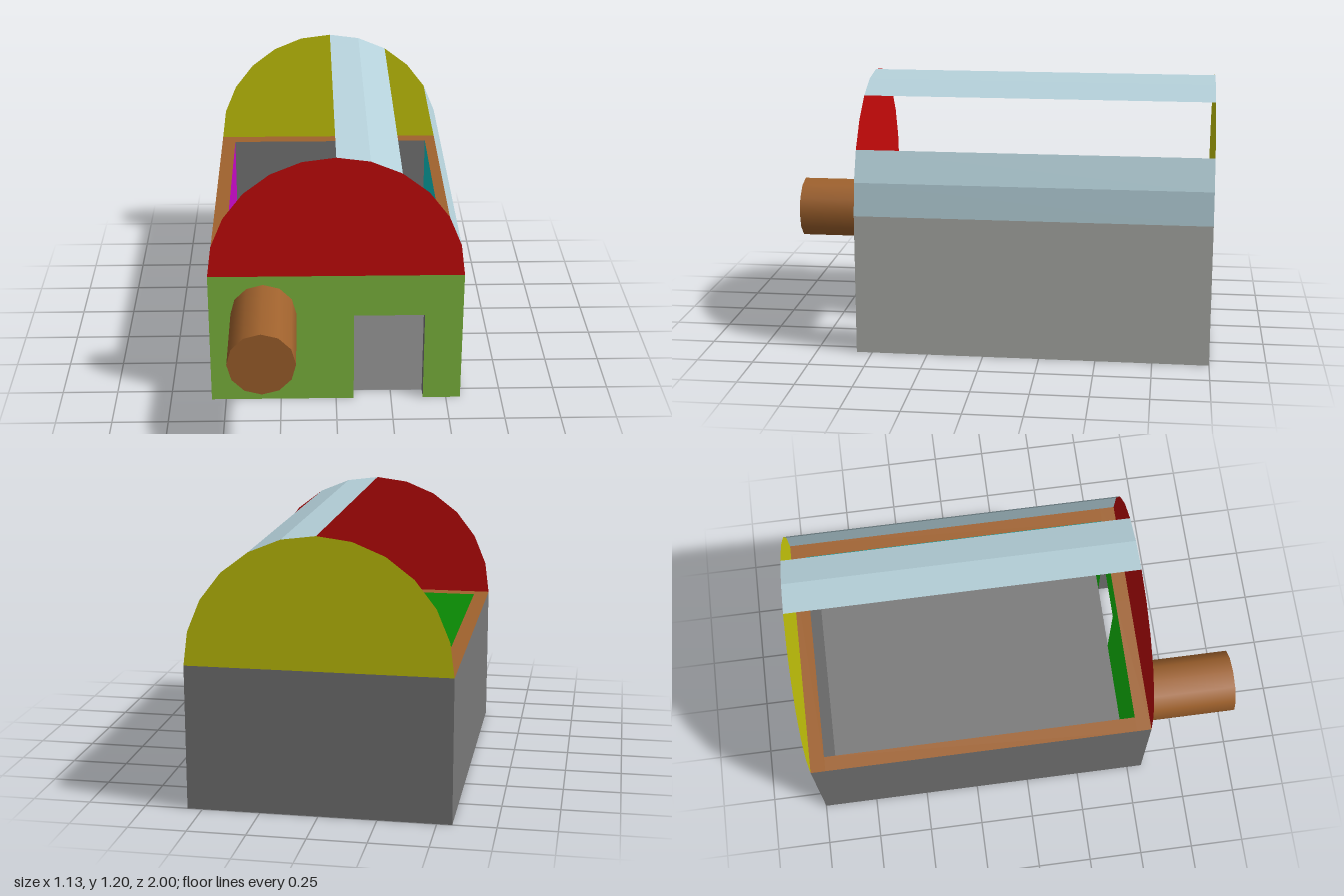
import * as THREE from 'three';

export function createModel() {
  const model = new THREE.Group();
  model.name = 'vaultedShed';

  const mat = (name, color, extra = {}) =>
    Object.assign(new THREE.MeshStandardMaterial({ color, ...extra }), { name });
  const both = { side: THREE.DoubleSide };
  const grey = mat('grey', 0x787878, both);
  const paleGrey = mat('pale grey', 0xb4b6b1);
  const leaf = mat('leaf green', 0x7fba3f);
  const green = mat('inner green', 0x14c80a);
  const teal = mat('teal', 0x0ac8c8);
  const purple = mat('purple', 0xc80ac8);
  const brown = mat('brown', 0xa0622d);
  const red = mat('red', 0xc80a0a, both);
  const yellow = mat('yellow', 0xc8c80a, both);
  const sky = mat('pale blue', 0xb6d2db, { ...both, flatShading: true });

  // Overall sizes: half width, wall height, wall thickness, front and back
  const W = 0.565, H = 0.63, T = 0.067, F = 0.57, B = -1;
  const L = F - B, midZ = (F + B) / 2;
  const door = { x0: 0.08, x1: 0.395, h: 0.43 };

  const add = (name, geometry, material, x = 0, y = 0, z = 0) => {
    const mesh = new THREE.Mesh(geometry, material);
    mesh.name = name;
    mesh.position.set(x, y, z);
    model.add(mesh);
    return mesh;
  };

  // Box between limits; materials in the order +x, -x, +y, -y, +z, -z
  const block = (name, [x0, x1], [y0, y1], [z0, z1], materials) =>
    add(name, new THREE.BoxGeometry(x1 - x0, y1 - y0, z1 - z0), materials,
      (x0 + x1) / 2, (y0 + y1) / 2, (z0 + z1) / 2);

  // Front wall around the doorway
  const front = [F - T, F];
  block('frontWallRight', [-W, door.x0], [0, H], front, [grey, grey, brown, grey, leaf, green]);
  block('frontWallLeft', [door.x1, W], [0, H], front, [paleGrey, grey, brown, grey, leaf, green]);
  block('doorLintel', [door.x0, door.x1], [door.h, H], front, [grey, grey, brown, grey, leaf, green]);

  // Side and back walls with a brown rim
  const between = [B + T, F - T];
  block('leftWall', [W - T, W], [0, H], between, [paleGrey, teal, brown, grey, grey, grey]);
  block('rightWall', [-W, -W + T], [0, H], between, [purple, grey, brown, grey, grey, grey]);
  block('backWall', [-W, W], [0, H], [B, B + T], [paleGrey, grey, brown, grey, grey, grey]);

  // Floor
  add('floor', new THREE.PlaneGeometry(2 * (W - T), L - 2 * T).rotateX(-Math.PI / 2), grey, 0, 0, midZ);

  // Half-round gables
  const gable = new THREE.CircleGeometry(W, 12, 0, Math.PI);
  add('frontGable', gable, red, 0, H, F);
  add('backGable', gable, yellow, 0, H, B);

  // Vault strips, two facets each, angles measured from the ridge
  for (const [name, start] of [['ridgeRoofStrip', 0], ['eaveRoofStrip', Math.PI / 3]]) {
    const strip = new THREE.CylinderGeometry(W, W, L, 2, 1, true, start, Math.PI / 6);
    add(name, strip.rotateX(-Math.PI / 2), sky, 0, H, midZ);
  }

  // Round post sticking out of the front wall
  const post = new THREE.CylinderGeometry(0.146, 0.146, 1 - F, 12).rotateX(Math.PI / 2);
  add('frontPost', post, brown, -0.322, 0.443, (1 + F) / 2);

  return model;
}
